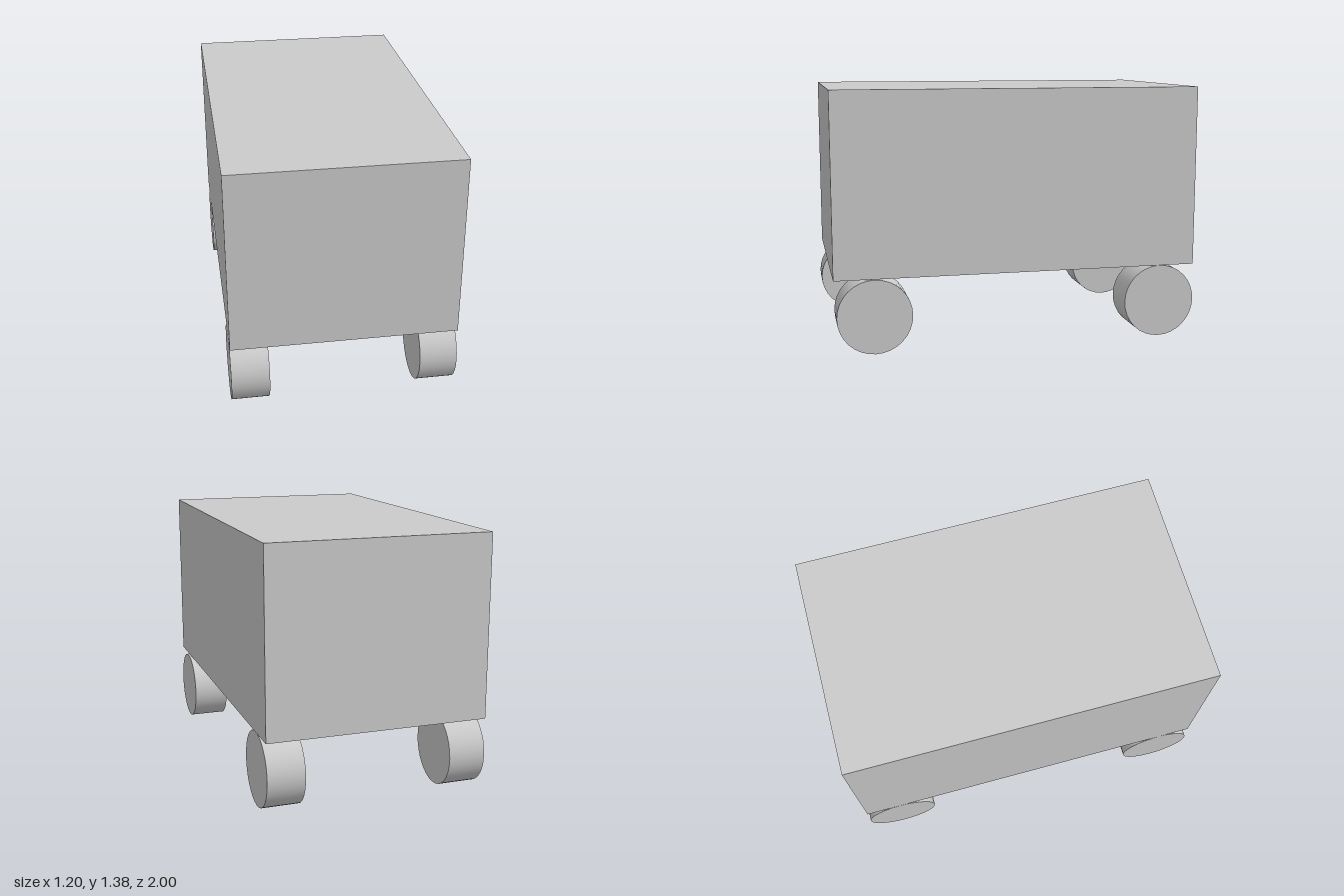
import * as THREE from 'three';

export function createModel() {
  const model = new THREE.Group();
  const material = new THREE.MeshStandardMaterial({ color: 0xcccccc });

  // Plain box body resting on the wheels
  const body = new THREE.Mesh(new THREE.BoxGeometry(1.19, 0.98, 1.98), material);
  body.name = 'body';
  body.position.set(-0.005, 0.89, -0.005);
  model.add(body);

  // Four solid wheels, axles along x, set slightly unevenly
  const wheelGeometry = new THREE.CylinderGeometry(0.199, 0.199, 0.2, 32);
  wheelGeometry.rotateZ(Math.PI / 2);
  const wheels = [
    ['frontLeftWheel', 0.5, 0.773],
    ['frontRightWheel', -0.5, 0.801],
    ['rearLeftWheel', 0.487, -0.801],
    ['rearRightWheel', -0.5, -0.801],
  ];
  for (const [name, x, z] of wheels) {
    const wheel = new THREE.Mesh(wheelGeometry, material);
    wheel.name = name;
    wheel.position.set(x, 0.2, z);
    model.add(wheel);
  }

  return model;
}
